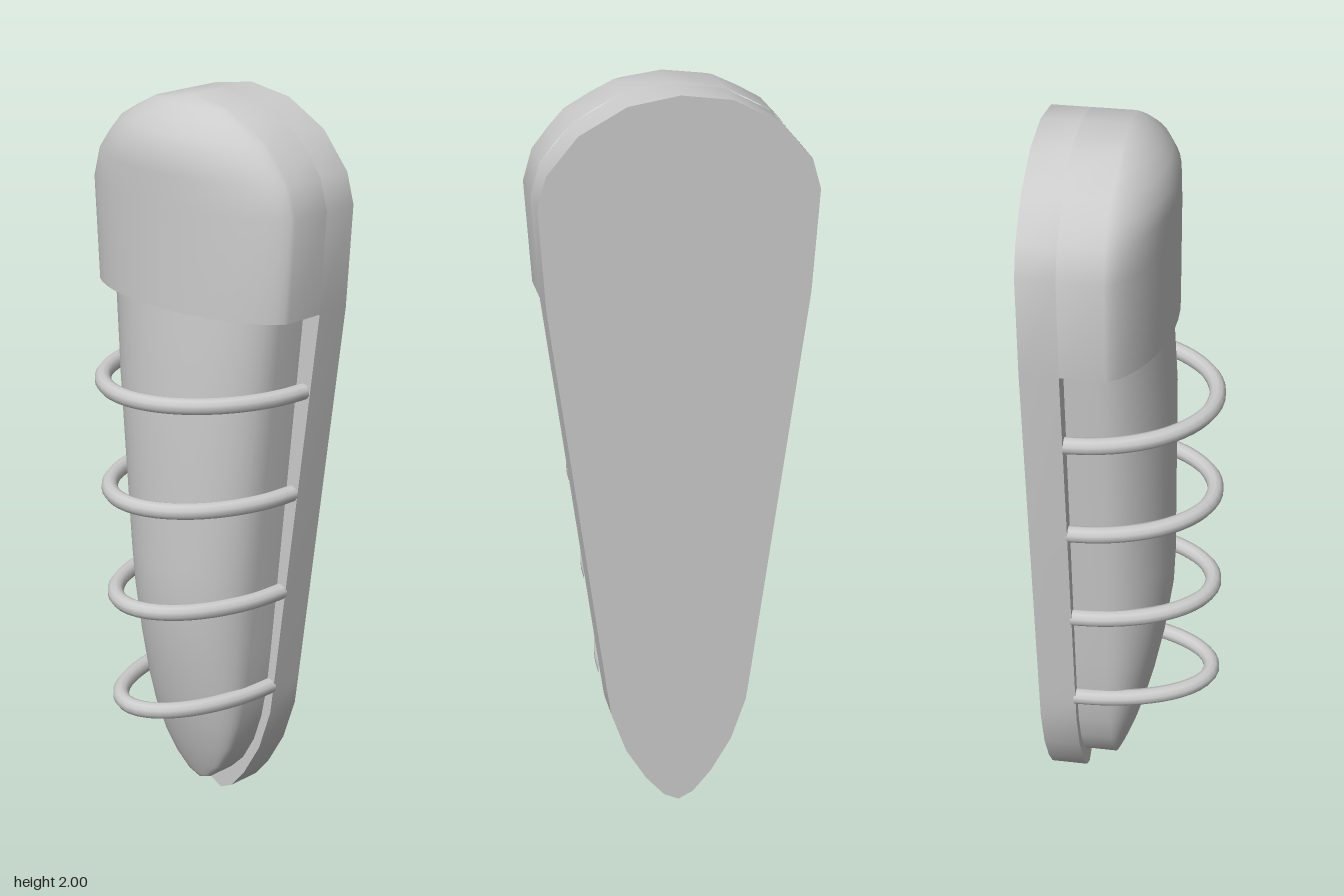
import * as THREE from 'three';
import { toCreasedNormals } from 'three/addons/utils/BufferGeometryUtils.js';

const material = new THREE.MeshStandardMaterial({ color: 0xcccccc });
const BACK = -0.235, SEAT = -0.135;

// Right half of the plate outline, [x, y] from the bottom tip to the crown
const outline = [
  [0, 0.005], [0.04, 0.025], [0.09, 0.085], [0.145, 0.18], [0.185, 0.3], [0.196, 0.38],
  [0.336, 1.47], [0.353, 1.74], [0.33, 1.82], [0.25, 1.915], [0.13, 1.98], [0, 2],
];

function addMesh(group, name, geometry) {
  const mesh = new THREE.Mesh(geometry, material);
  mesh.name = name;
  group.add(mesh);
  return mesh;
}

// Bulged body lofted upward through rows of [y, halfWidth, sideZ, frontZ]
function bulgedBody(rows, power, segments = 20) {
  const sections = rows.map(([y, w, side, front]) => {
    const points = [new THREE.Vector3(-w, y, SEAT)];
    for (let i = 0; i <= segments; i++) {
      const a = (i / segments - 0.5) * Math.PI;
      const bulge = Math.pow(Math.max(0, Math.cos(a)), power);
      points.push(new THREE.Vector3(w * Math.sin(a), y, side + (front - side) * bulge));
    }
    points.push(new THREE.Vector3(w, y, SEAT));
    return points;
  });
  const positions = [];
  const triangle = (a, b, c) => {
    if (new THREE.Triangle(a, b, c).getArea() < 1e-7) return;
    for (const p of [a, b, c]) positions.push(p.x, p.y, p.z);
  };
  for (let j = 0; j < sections.length - 1; j++) {
    const low = sections[j], high = sections[j + 1];
    for (let i = 0; i < low.length - 1; i++) {
      triangle(low[i], low[i + 1], high[i + 1]);
      triangle(low[i], high[i + 1], high[i]);
    }
  }
  // flat underside and top
  const bottom = sections[0], top = sections[sections.length - 1];
  for (let i = 1; i < bottom.length - 1; i++) {
    triangle(bottom[0], bottom[i + 1], bottom[i]);
    triangle(top[0], top[i], top[i + 1]);
  }
  const geometry = new THREE.BufferGeometry();
  geometry.setAttribute('position', new THREE.Float32BufferAttribute(positions, 3));
  return toCreasedNormals(geometry, 0.65);
}

export function createModel() {
  const group = new THREE.Group();
  group.name = 'wallLamp';

  // Back plate
  const mirrored = outline.slice(1, -1).reverse().map(([x, y]) => [-x, y]);
  const shape = new THREE.Shape([...outline, ...mirrored].map(([x, y]) => new THREE.Vector2(x, y)));
  const plate = new THREE.ExtrudeGeometry(shape, { depth: SEAT - BACK, bevelEnabled: false });
  plate.translate(0, 0, BACK);
  addMesh(group, 'backPlate', toCreasedNormals(plate, 0.65));

  // Hood over the top of the lens
  addMesh(group, 'hood', bulgedBody([
    [1.47, 0.336, -0.02, 0.108], [1.74, 0.353, -0.02, 0.108], [1.82, 0.33, -0.02, 0.108],
    [1.87, 0.29, -0.02, 0.107], [1.915, 0.25, -0.02, 0.087], [1.95, 0.19, -0.02, 0.06],
    [1.98, 0.13, -0.02, 0.027], [2, 0, -0.015, -0.015],
  ], 1.3));

  // Tapered lens
  addMesh(group, 'lens', bulgedBody([
    [0.07, 0, -0.05, -0.05], [0.085, 0.04, -0.05, -0.042], [0.13, 0.085, -0.05, -0.022],
    [0.2, 0.125, -0.05, 0.005], [0.28, 0.152, -0.05, 0.03], [0.37, 0.17, -0.05, 0.053],
    [0.5, 0.185, -0.05, 0.08], [0.65, 0.2, -0.05, 0.102], [0.75, 0.21, -0.05, 0.106],
    [1.25, 0.26, -0.05, 0.105], [1.48, 0.283, -0.05, 0.09],
  ], 1));

  // Wire guard hoops, narrowing downward
  for (let k = 0; k < 4; k++) {
    const w = 0.285 - 0.035 * k, y = 1.25 - 0.29 * k;
    const points = [];
    for (let i = 0; i <= 16; i++) {
      const a = (i / 16 - 0.5) * Math.PI;
      const x = w * Math.sin(a);
      points.push(new THREE.Vector3(x, y + 0.012 * x, SEAT - 0.005 + 0.352 * Math.cos(a)));
    }
    const curve = new THREE.CatmullRomCurve3(points);
    addMesh(group, 'guardHoop' + (k + 1), new THREE.TubeGeometry(curve, 32, 0.022, 10));
  }
  return group;
}
